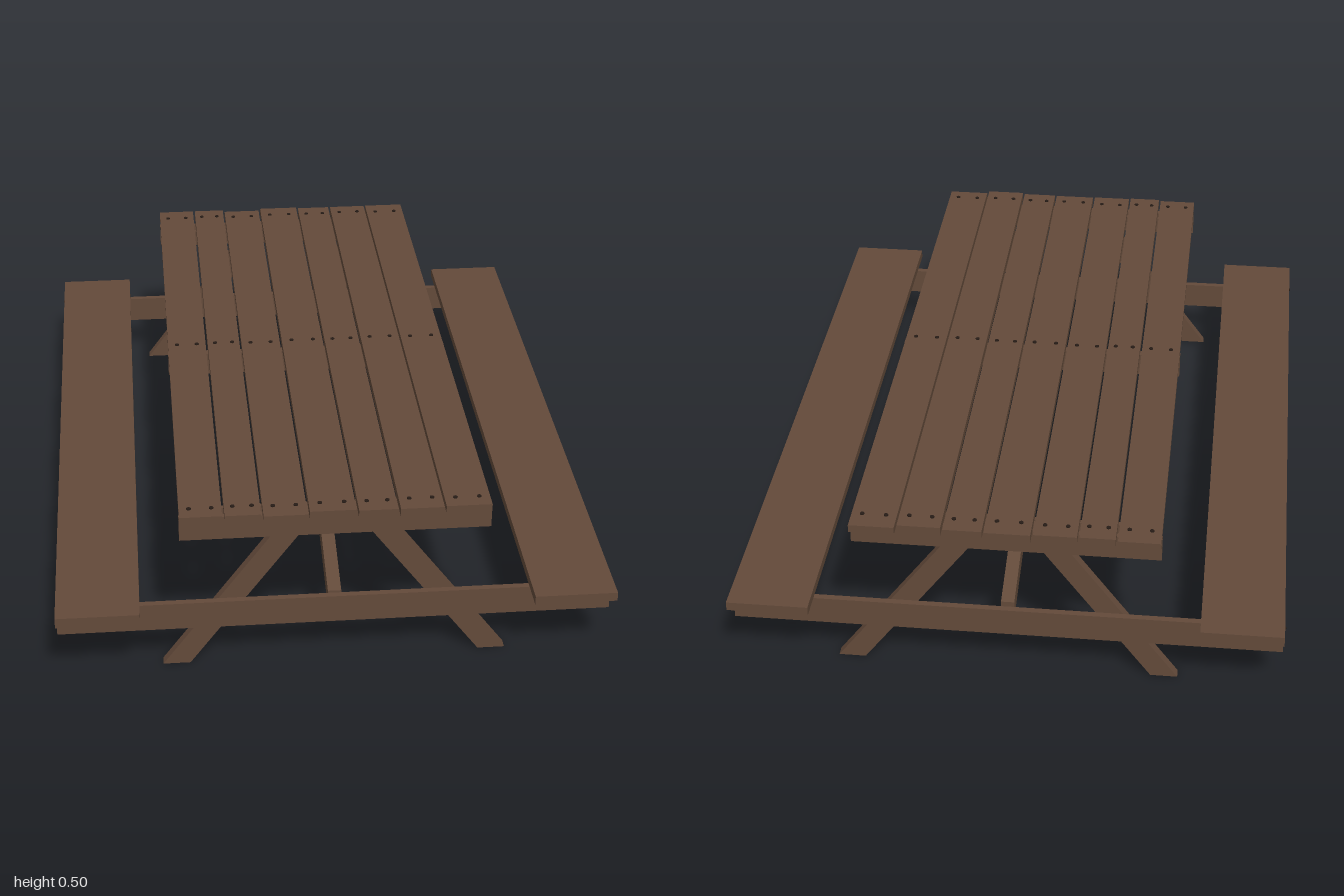
import * as THREE from 'three';

export function createModel() {
  const wood = new THREE.MeshStandardMaterial({ color: 0x634a3a });
  wood.name = 'brown wood';
  const iron = new THREE.MeshStandardMaterial({ color: 0x261c16 });
  iron.name = 'dark nail';
  const model = new THREE.Group();
  model.name = 'picnicTable';

  const add = (name, geometry, material = wood) => {
    const mesh = new THREE.Mesh(geometry, material);
    mesh.name = name;
    model.add(mesh);
    return mesh;
  };
  // Board given by its limits along each axis
  const board = (name, x0, x1, y0, y1, z0, z1) =>
    add(name, new THREE.BoxGeometry(x1 - x0, y1 - y0, z1 - z0))
      .position.set((x0 + x1) / 2, (y0 + y1) / 2, (z0 + z1) / 2);
  // Flat outline extruded through a thickness, starting at z0
  const slab = (points, z0, depth) => {
    const shape = new THREE.Shape(points.map(([x, y]) => new THREE.Vector2(x, y)));
    return new THREE.ExtrudeGeometry(shape, { depth, bevelEnabled: false }).translate(0, 0, z0);
  };

  // Table top: seven planks of uneven width, each with nails at three cleats
  const edges = [-0.412, -0.295, -0.195, -0.075, 0.052, 0.16, 0.28, 0.406];
  const tops = [0.49, 0.492, 0.488, 0.491, 0.49, 0.492, 0.489];
  const nail = new THREE.CylinderGeometry(0.006, 0.006, 0.004, 8);
  tops.forEach((top, i) => {
    const a = edges[i], b = edges[i + 1], shift = (i % 3 - 1) * 0.004;
    board('tablePlank', a + 0.003, b - 0.003, 0.468, top, -0.97 + shift, 0.95 + shift);
    for (const z of [-0.92, -0.01, 0.905]) {
      for (const t of [0.25, 0.75]) {
        add('nail', nail, iron).position.set(a + (b - a) * t, top + 0.001, z);
      }
    }
  });

  // Cleat across the middle of the table top
  board('middleCleat', -0.41, 0.41, 0.402, 0.468, -0.012, 0.012);

  // Benches with a rail on edge under each seat
  for (const s of [-1, 1]) {
    const c = s * 0.63;
    board('benchSeat', c - 0.11, c + 0.11, 0.204, s < 0 ? 0.233 : 0.229, -1, 1);
    board('benchRail', c - 0.012, c + 0.012, 0.13, 0.204, -0.9, 0.895);
  }

  // End frames: cross beam, cleats, splayed legs and a diagonal brace
  for (const s of [-1, 1]) {
    const inner = s > 0 ? 0.87 : -0.905;
    const outer = s > 0 ? 0.898 : -0.925;
    board('crossBeam', -0.74, 0.74, 0.125, 0.204, outer, outer + 0.018);
    board('endCleat', -0.41, 0.408, 0.402, 0.468, outer, outer + 0.018);
    board('innerCleat', -0.3, 0.3, 0.42, 0.468, s * 0.865 - 0.007, s * 0.865 + 0.007);
    for (const m of [-1, 1]) {
      const outline = [[0.39, 0], [0.463, 0], [0.114, 0.468], [0.04, 0.468]].map(([x, y]) => [m * x, y]);
      add('leg', slab(outline, inner, 0.028));
      // Screw heads at the ends of the cross beam
      add('beamScrew', nail, iron).position.set(m * 0.739, 0.2, outer + 0.009);
    }
    // Brace drawn in (z, y), then turned so its length runs along z
    const brace = slab([[0, 0.41], [0.88, 0.145], [0.88, 0.198], [0, 0.464]], -0.018, 0.036);
    add('brace', brace).rotation.y = -s * Math.PI / 2;
  }
  return model;
}
